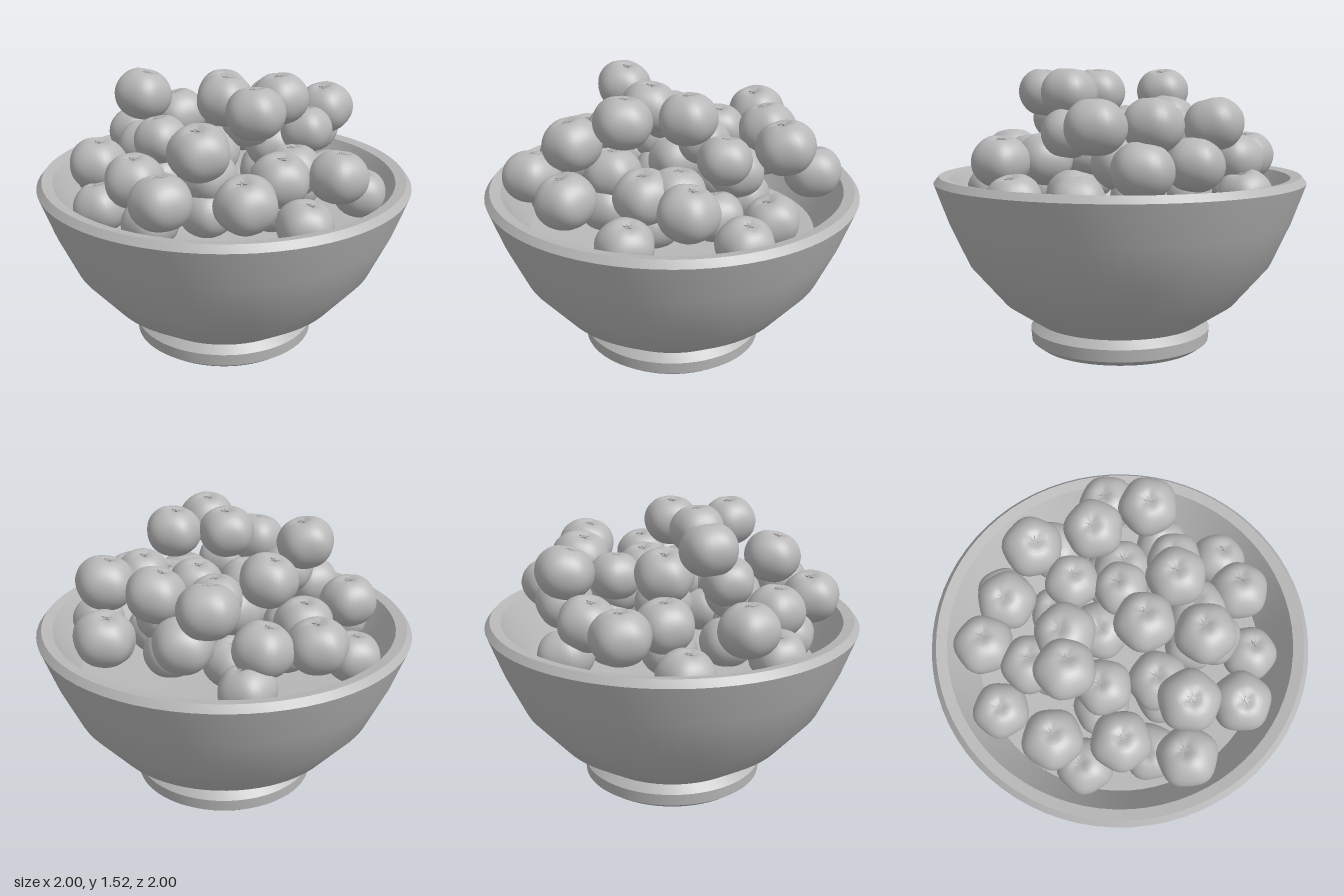
import * as THREE from 'three';
import { mergeVertices, toCreasedNormals } from 'three/addons/utils/BufferGeometryUtils.js';

const clay = new THREE.MeshStandardMaterial({ color: 0xb8b8b8 });
clay.name = 'grey clay';

// Bowl: foot, flared outer wall, bevelled rim, inner wall and raised floor
function makeBowl() {
  const profile = [
    [0, 0], [0.45, 0.01], [0.49, 0.04], [0.495, 0.105], [0.455, 0.145],
    [0.64, 0.27], [0.82, 0.48], [0.925, 0.71], [1, 0.92],
    [0.972, 0.955], [0.915, 0.945], [0.775, 0.7], [0.4, 0.67], [0, 0.66],
  ].map(([r, y]) => new THREE.Vector2(r, y));
  const bowl = new THREE.Mesh(toCreasedNormals(new THREE.LatheGeometry(profile, 72), 0.45), clay);
  bowl.name = 'bowl';
  return bowl;
}

// Unit fruit: squashed sphere with five soft lobes and a dimple at each end
function fruitGeometry() {
  let g = new THREE.SphereGeometry(1, 35, 24);
  g.deleteAttribute('uv');
  g.deleteAttribute('normal');
  g = mergeVertices(g, 1e-4);
  const p = g.attributes.position;
  for (let i = 0; i < p.count; i++) {
    const x = p.getX(i), y = p.getY(i), z = p.getZ(i);
    const s = Math.hypot(x, z);
    const lobe = Math.cos(5 * Math.atan2(z, x));
    const k = 1 + 0.035 * lobe * s * s;
    const dent = (y > 0 ? 0.2 : 0.1) * Math.exp(-((s / 0.28) ** 2));
    const groove = y > 0 ? 0.035 * (1 - lobe) * s * Math.exp(-((s / 0.45) ** 2)) : 0;
    p.setXYZ(i, x * k, y * 0.93 - Math.sign(y) * dent - groove, z * k);
  }
  g.computeVertexNormals();
  return g;
}

// Five-armed calyx lying in the top dimple
function calyxGeometry() {
  const star = new THREE.Shape();
  for (let i = 0; i < 10; i++) {
    const a = (i * Math.PI) / 5, r = i % 2 ? 0.05 : 0.17;
    star[i ? 'lineTo' : 'moveTo'](r * Math.cos(a), r * Math.sin(a));
  }
  const g = new THREE.ExtrudeGeometry(star, { depth: 0.08, bevelEnabled: false });
  return g.rotateX(-Math.PI / 2).translate(0, 0.72, 0);
}

// Evenly spaced fruit spots on a circle
const ring = (count, radius) => Array.from({ length: count }, (_, i) => {
  const a = (i * 2 * Math.PI) / count;
  return [radius * Math.cos(a), radius * Math.sin(a)];
});

// The pile in layers: each has one height, one fruit radius and its spots as x, z
const LAYERS = [
  { name: 'crown', y: 1.39, r: 0.147,
    spots: [[-0.25, 0.34], [0.12, 0.09], [0.41, 0.14], [0.27, -0.15]] },
  { name: 'upper layer', y: 1.235, r: 0.153,
    spots: [[0.345, 0.43], [-0.46, -0.37], [-0.27, 0.1], [0.13, -0.62], [-0.15, -0.48]] },
  { name: 'shoulder layer', y: 1.19, r: 0.138,
    spots: [[-0.07, 0.36], [0.27, -0.34], [-0.25, -0.2], [0, -0.17]] },
  { name: 'middle layer', y: 1.04, r: 0.152,
    spots: [[-0.09, -0.74], [0.62, -0.24], [0.47, 0.02], [0.62, 0.37], [0.35, 0.66],
      [0.02, 0.59], [-0.32, 0.59], [-0.45, 0.2], [-0.7, 0.1], [-0.6, -0.15],
      [0.2, 0.27], [-0.1, 0], [0, -0.35], [0.4, -0.13], [-0.36, -0.45]] },
  { name: 'lower layer', y: 0.87, r: 0.145,
    spots: [[0.53, -0.5], [0.69, 0.05], [-0.61, 0.4], [-0.16, 0.68], [0.17, 0.6],
      [0.22, -0.58], [-0.64, -0.26], ...ring(7, 0.38)] },
];

export function createModel() {
  const model = new THREE.Group();
  model.name = 'bowl of fruit';
  model.add(makeBowl());

  let seed = 7;
  const rand = () => (seed = (seed * 16807) % 2147483647) / 2147483647;
  const parts = {
    flesh: fruitGeometry(),
    calyx: calyxGeometry(),
    stem: new THREE.CylinderGeometry(0.04, 0.05, 0.12, 8).translate(0, 0.77, 0),
  };

  for (const { name, y, r, spots } of LAYERS) {
    const layer = new THREE.Group();
    layer.name = name;
    for (const [x, z] of spots) {
      const fruit = new THREE.Group();
      fruit.name = 'fruit';
      for (const [part, geometry] of Object.entries(parts)) {
        const mesh = new THREE.Mesh(geometry, clay);
        mesh.name = part;
        fruit.add(mesh);
      }
      // Spin about the core, then lean a little
      fruit.position.set(x, y, z);
      fruit.scale.setScalar(r);
      fruit.rotation.set((rand() - 0.4) * 0.5, rand() * Math.PI * 2, (rand() - 0.5) * 0.5, 'XZY');
      layer.add(fruit);
    }
    model.add(layer);
  }
  return model;
}
